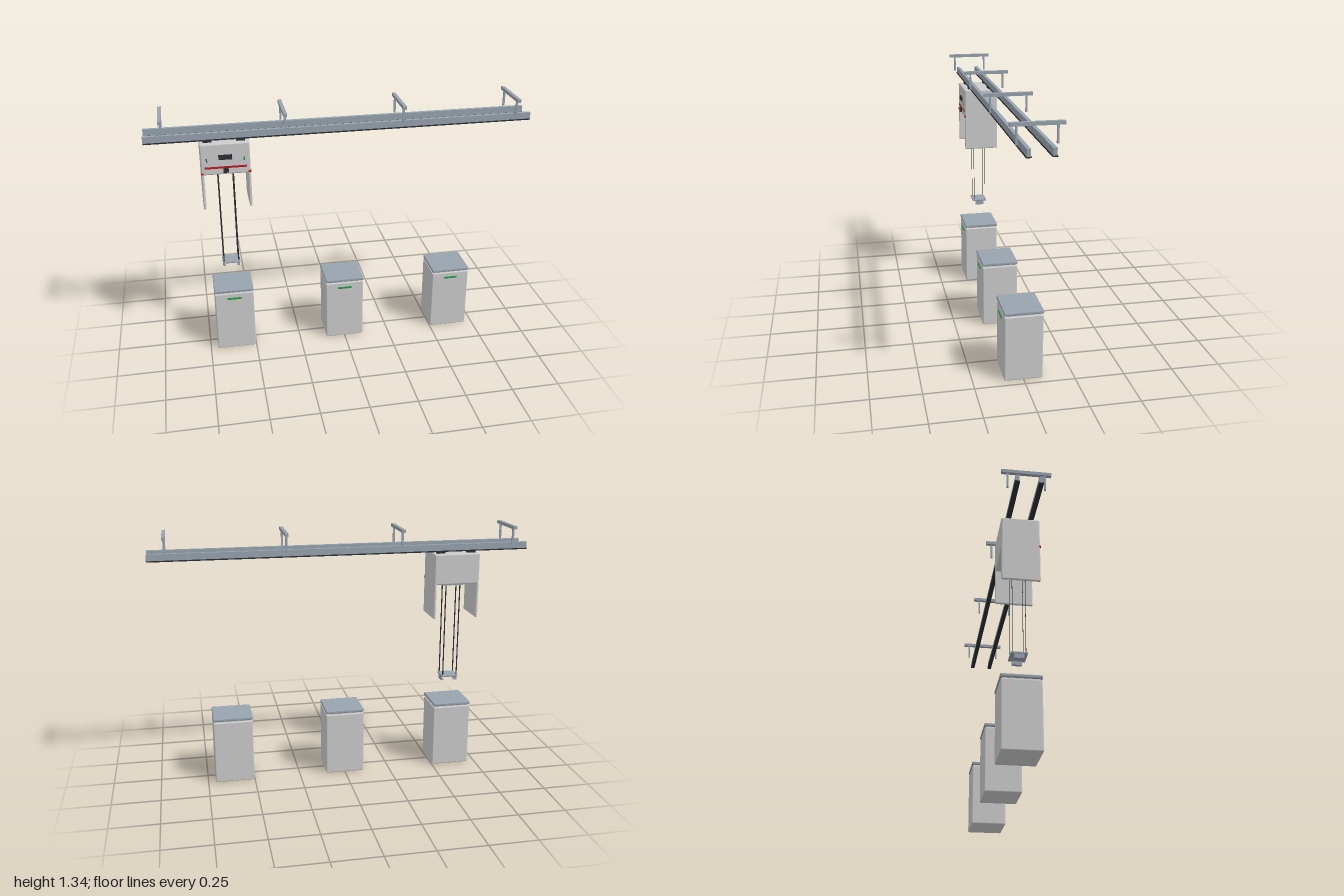
import * as THREE from 'three';
import { RoundedBoxGeometry } from 'three/addons/geometries/RoundedBoxGeometry.js';

const mat = (color) => new THREE.MeshStandardMaterial({ color });

export function createModel() {
  const light = mat(0xcccccc), steel = mat(0x98a3ae), dark = mat(0x2a2e33);
  const red = mat(0xc01822), green = mat(0x1f9a48), teal = mat(0x1d6a60);
  const root = new THREE.Group();

  const group = (name, x = 0) => {
    const g = new THREE.Group();
    g.name = name;
    g.position.x = x;
    root.add(g);
    return g;
  };
  // Box given by centre and size; r rounds the edges
  const box = (parent, name, material, [x, y, z], [w, h, d], r = 0) => {
    const geo = r ? new RoundedBoxGeometry(w, h, d, 2, r) : new THREE.BoxGeometry(w, h, d);
    const m = new THREE.Mesh(geo, material);
    m.name = name;
    m.position.set(x, y, z);
    parent.add(m);
    return m;
  };

  const pitch = 0.606;
  const sides = [-1, 1];

  // Twin overhead rails, each with a dark running flange below
  const track = group('track');
  for (const s of sides) {
    box(track, 'rail', steel, [0, 1.231, s * 0.056], [2, 0.034, 0.018]);
    box(track, 'railFlange', dark, [0, 1.212, s * 0.056], [2, 0.006, 0.024]);
  }

  // Ceiling hangers: a crossbar and two drop rods
  for (let i = 0; i < 4; i++) {
    const h = group('hanger', (i - 1.5) * pitch);
    box(h, 'crossbar', steel, [0, 1.332, 0], [0.018, 0.017, 0.242]);
    for (const s of sides) box(h, 'dropRod', steel, [0, 1.284, s * 0.09], [0.01, 0.084, 0.009]);
  }

  // Travelling hoist carriage
  const car = group('carriage', -pitch);
  box(car, 'carriageBody', light, [0, 1.118, 0], [0.248, 0.164, 0.19], 0.008);
  for (const s of sides) {
    box(car, 'sideGuard', light, [s * 0.117, 0.95, 0], [0.014, 0.2, 0.19], 0.006);
    box(car, 'bumperTip', red, [s * 0.119, 1.045, 0.094], [0.014, 0.009, 0.008]);
    box(car, 'statusLight', s > 0 ? green : teal, [s * 0.093, 1.116, 0.095], [0.007, 0.019, 0.005]);
    for (const t of sides) {
      box(car, 'trolley', dark, [s * 0.083, 1.205, t * 0.056], [0.044, 0.014, 0.024]);
    }
  }
  box(car, 'frontStripe', red, [0, 1.075, 0.095], [0.21, 0.01, 0.004]);
  box(car, 'displayPanel', dark, [0, 1.129, 0.096], [0.068, 0.025, 0.008]);
  box(car, 'frontSensor', dark, [0, 1.061, 0.1], [0.026, 0.024, 0.014]);
  box(car, 'hoistBase', steel, [0, 1.031, 0], [0.12, 0.014, 0.11]);

  // Four flat lifting belts and the gripper they carry
  const gripper = group('gripper', -pitch);
  for (const s of sides) {
    for (const t of sides) {
      box(gripper, 'belt', dark, [s * 0.039, 0.766, t * 0.032], [0.006, 0.522, 0.0016]);
    }
    box(gripper, 'jaw', steel, [s * 0.041, 0.487, 0], [0.008, 0.024, 0.048]);
    box(gripper, 'jawLip', steel, [s * 0.037, 0.478, 0], [0.014, 0.005, 0.048]);
  }
  box(gripper, 'gripperPlate', steel, [0, 0.503, 0], [0.094, 0.01, 0.082], 0.003);

  // Three floor stations with a top plate and a front light bar
  for (let i = -1; i <= 1; i++) {
    const st = group('station', i * pitch);
    box(st, 'stationBody', light, [0, 0.171, 0], [0.208, 0.342, 0.192], 0.006);
    box(st, 'topNeck', light, [0, 0.345, 0], [0.192, 0.014, 0.176]);
    box(st, 'topPlate', steel, [0, 0.357, 0], [0.21, 0.018, 0.196], 0.006);
    box(st, 'lightBar', green, [0, 0.312, 0.097], [0.074, 0.009, 0.007]);
  }
  return root;
}
